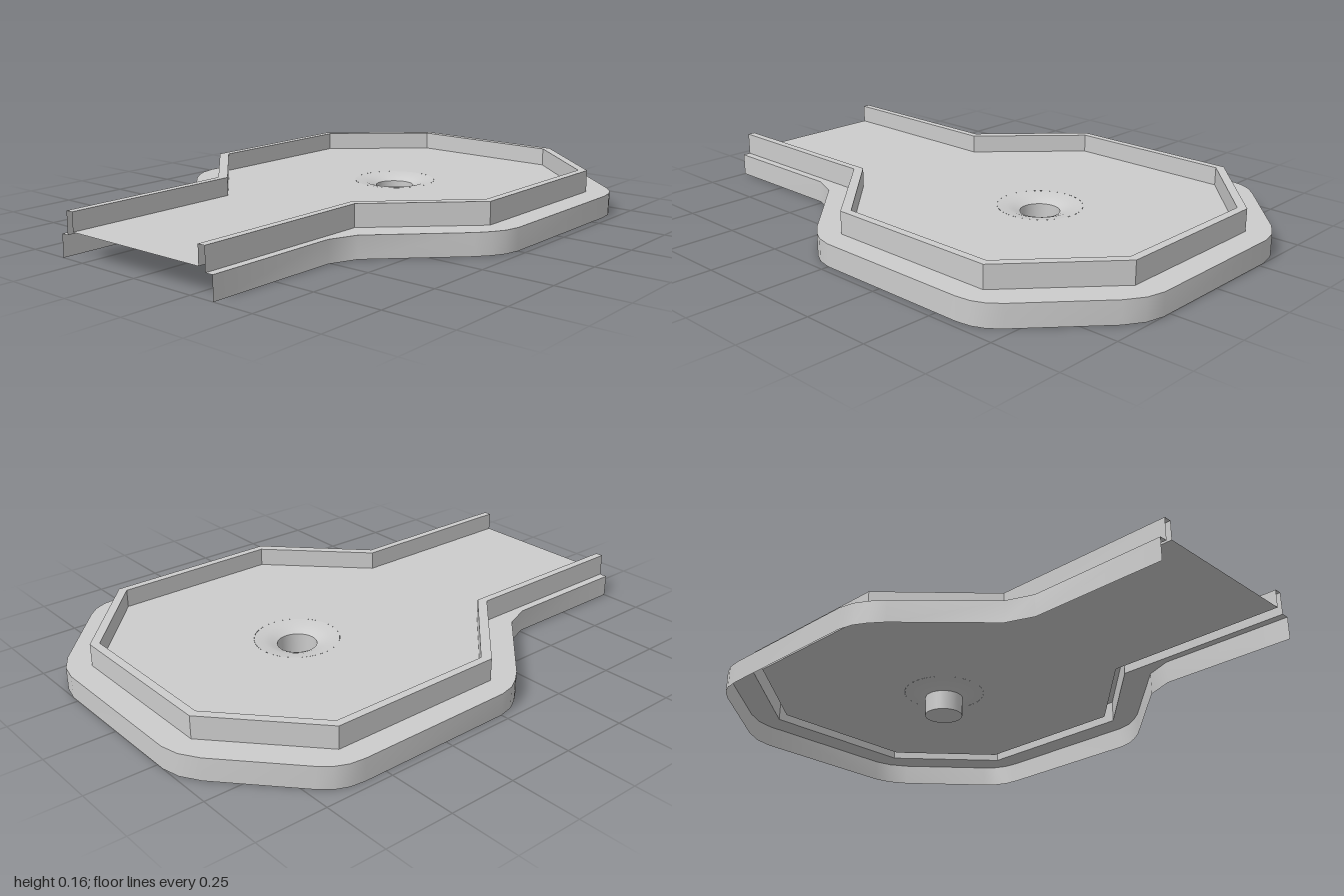
import * as THREE from 'three';
import { toCreasedNormals } from 'three/addons/utils/BufferGeometryUtils.js';

const LEDGE = 0.08, FLOOR = 0.094, TOP = 0.16;
const HOLE_Z = -0.275, HOLE_R = 0.07, DIP_R = 0.15;

// Plan outlines as [x, z] for the left half, from the open front to the back
const mirror = (half) => [...half, ...half.map(([x, z]) => [-x, z]).reverse()];
const base = mirror([
  [0.346, 1], [0.346, 0.51], [0.385, 0.41], [0.65, 0.145], [0.685, 0.1], [0.71, 0.055], [0.722, 0],
  [0.722, -0.58], [0.715, -0.635], [0.695, -0.68], [0.66, -0.72], [0.41, -0.945], [0.345, -0.985], [0.28, -1],
]);
const wallOuter = mirror([[0.317, 1], [0.317, 0.345], [0.635, 0.035], [0.635, -0.61], [0.303, -0.91]]);
const wallInner = mirror([[0.289, 1], [0.289, 0.327], [0.606, 0.015], [0.606, -0.595], [0.29, -0.88]]);

// Upright strip that follows an outline
function strip(path, y0, y1) {
  const pos = [];
  for (let i = 0; i < path.length - 1; i++) {
    const [ax, az] = path[i], [bx, bz] = path[i + 1];
    pos.push(ax, y0, az, bx, y0, bz, bx, y1, bz, ax, y0, az, bx, y1, bz, ax, y1, az);
  }
  const g = new THREE.BufferGeometry();
  g.setAttribute('position', new THREE.Float32BufferAttribute(pos, 3));
  g.computeVertexNormals();
  return toCreasedNormals(g, 0.5);
}

// Level sheet bounded by an outline
function sheet(points, y, hole) {
  const shape = new THREE.Shape(points.map(([x, z]) => new THREE.Vector2(x, -z)));
  if (hole) shape.holes.push(hole);
  return new THREE.ShapeGeometry(shape, 32).rotateX(-Math.PI / 2).translate(0, y, 0);
}

// Level band between two open outlines
const band = (outer, inner, y) => sheet([...outer, ...[...inner].reverse()], y);

export function createModel() {
  const group = new THREE.Group();
  const grey = new THREE.MeshStandardMaterial({ color: 0xcccccc, side: THREE.DoubleSide });
  grey.name = 'light grey';
  const add = (name, geometry) => {
    const mesh = new THREE.Mesh(geometry, grey);
    mesh.name = name;
    group.add(mesh);
    return mesh;
  };

  // Base rim, hollow below and open at the front
  add('baseSkirt', strip(base, 0, LEDGE));
  add('baseLedge', band(base, wallOuter, LEDGE));

  // Raised border
  add('borderOuterFace', strip(wallOuter, LEDGE, TOP));
  add('borderTop', band(wallOuter, wallInner, TOP));
  add('borderInnerFace', strip([...wallInner].reverse(), FLOOR, TOP));

  // Playing floor with a round opening
  const opening = new THREE.Path().absarc(0, -HOLE_Z, DIP_R, 0, Math.PI * 2, true);
  add('floor', sheet(wallInner, FLOOR, opening));

  // Dip around the hole
  const dip = [[HOLE_R, 0.073], [0.09, 0.082], [0.115, 0.09], [DIP_R, FLOOR]];
  add('holeDip', new THREE.LatheGeometry(dip.map(([r, y]) => new THREE.Vector2(r, y)), 32))
    .position.z = HOLE_Z;

  // Cup with a closed bottom
  add('cupWall', new THREE.CylinderGeometry(HOLE_R, HOLE_R, 0.073, 32, 1, true))
    .position.set(0, 0.0365, HOLE_Z);
  add('cupBottom', new THREE.CircleGeometry(HOLE_R, 32).rotateX(-Math.PI / 2))
    .position.set(0, 0, HOLE_Z);

  return group;
}
